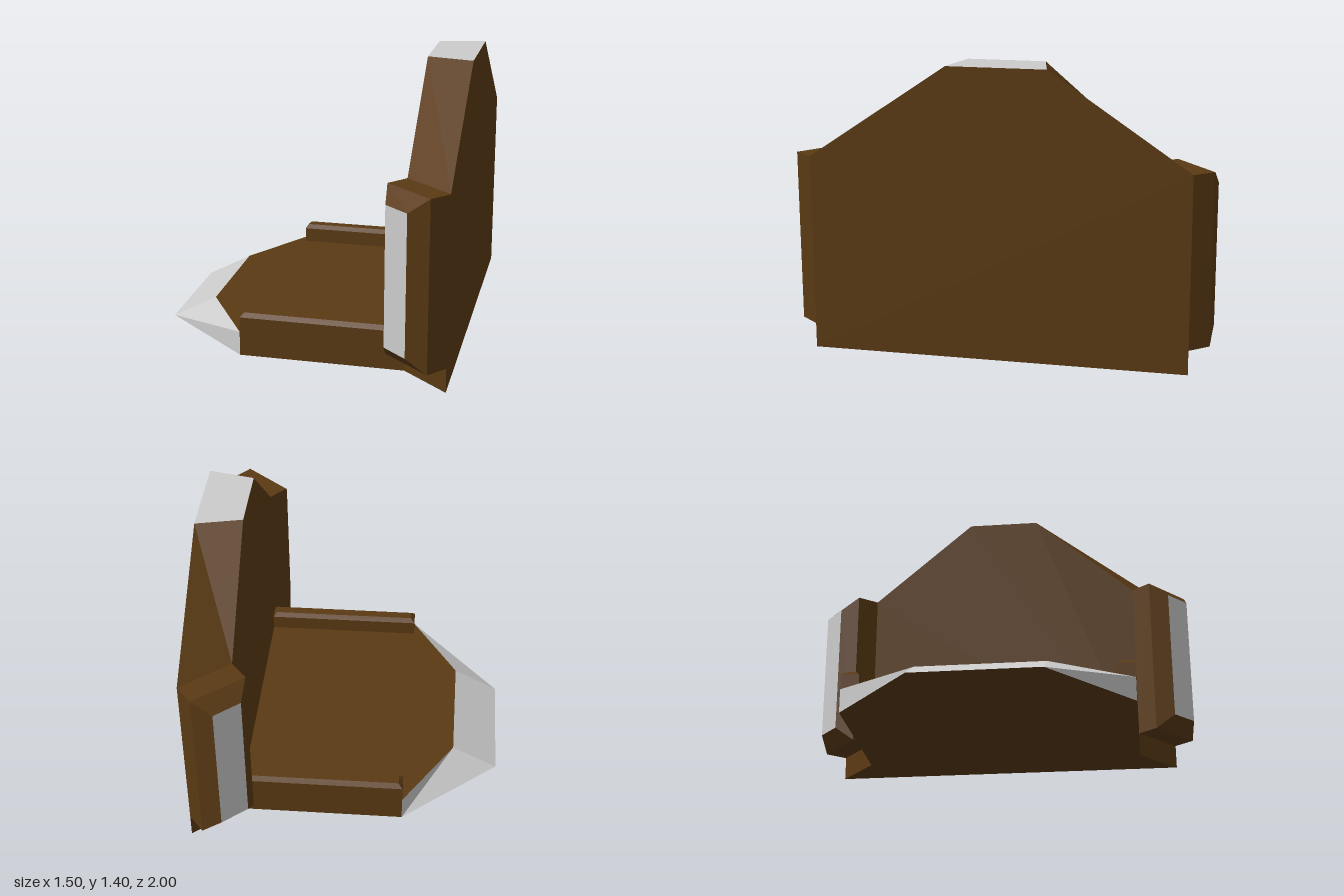
import * as THREE from 'three';

const brown = new THREE.MeshStandardMaterial({ color: 0x5a3a14, flatShading: true });
const grey = new THREE.MeshStandardMaterial({ color: 0xcccccc, flatShading: true });

// One flat-shaded mesh from convex faces, each turned to face away from the centre.
function facesMesh(name, faces, centre, material) {
  const positions = [];
  for (const face of faces) {
    for (let i = 1; i < face.length - 1; i++) {
      const [a, b, c] = [face[0], face[i], face[i + 1]];
      const normal = b.clone().sub(a).cross(c.clone().sub(a));
      const outward = normal.dot(a.clone().sub(centre)) > 0;
      for (const p of outward ? [a, b, c] : [a, c, b]) positions.push(p.x, p.y, p.z);
    }
  }
  const geometry = new THREE.BufferGeometry();
  geometry.setAttribute('position', new THREE.Float32BufferAttribute(positions, 3));
  geometry.computeVertexNormals();
  const mesh = new THREE.Mesh(geometry, material);
  mesh.name = name;
  return mesh;
}

// Convex solid lofted between two matching rings. greyFaces lists the grey sides;
// the last two faces are the start cap and the end cap.
function loft(name, start, end, greyFaces = []) {
  const ringA = start.map(p => new THREE.Vector3(...p));
  const ringB = end.map(p => new THREE.Vector3(...p));
  const n = ringA.length;
  const centre = new THREE.Vector3();
  for (const p of [...ringA, ...ringB]) centre.addScaledVector(p, 0.5 / n);
  const faces = ringA.map((p, i) => [p, ringA[(i + 1) % n], ringB[(i + 1) % n], ringB[i]]);
  faces.push(ringA, ringB);

  const group = new THREE.Group();
  group.name = name;
  group.add(facesMesh(name + 'Body', faces.filter((f, i) => !greyFaces.includes(i)), centre, brown));
  if (greyFaces.length) {
    group.add(facesMesh(name + 'GreyFaces', faces.filter((f, i) => greyFaces.includes(i)), centre, grey));
  }
  return group;
}

// Floor outline with the given front edge
const floorRing = (y, front) => [
  [front, y, 0.31], [-0.28, y, 0.71], [0.525, y, 0.71],
  [0.525, y, -0.71], [-0.28, y, -0.71], [front, y, -0.31],
];

// Wall outline with a peaked, flat-topped profile
const wallRing = (x, side, top) => [
  [x, 0, side], [x, 0.95, side], [x, 1.4, top],
  [x, 1.4, -top], [x, 0.95, -side], [x, 0, -side],
];

// Upright rectangle spanning two plan points
const uprightRing = ([x1, z1], [x2, z2], low, high, s) => [
  [x1, low, z1 * s], [x2, low, z2 * s], [x2, high, z2 * s], [x1, high, z1 * s],
];

// Horizontal rail rectangle with an inset for the bevel
const railRing = (y, inset, s) => [
  [-0.28 + inset, y, (0.62 + inset) * s], [0.525 - inset, y, (0.62 + inset) * s],
  [0.525 - inset, y, (0.71 - inset) * s], [-0.28 + inset, y, (0.71 - inset) * s],
];

export function createModel() {
  const model = new THREE.Group();
  model.name = 'walledPlatform';

  // Floor with grey ramps on the three front edges
  model.add(loft('floor', floorRing(0, -0.75), floorRing(0.12, -0.525), [0, 4, 5]));

  // Tapered wall with a grey top
  model.add(loft('wall', wallRing(0.75, 0.9, 0.235), wallRing(0.525, 0.71, 0.185), [2]));

  for (const s of [1, -1]) {
    const side = s > 0 ? 'front' : 'back';

    // Low bevelled rail along the floor edge
    model.add(loft(side + 'Rail', railRing(0.12, 0, s), railRing(0.195, 0, s)));
    model.add(loft(side + 'RailBevel', railRing(0.195, 0, s), railRing(0.215, 0.02, s)));

    // Angled post on the wall edge, bevelled to a grey panel
    const root = uprightRing([0.75, 0.9], [0.525, 0.71], 0.12, 0.95, s);
    const rim = uprightRing([0.675, 0.99], [0.45, 0.8], 0.12, 0.95, s);
    const panel = uprightRing([0.575, 1], [0.46, 0.9], 0.195, 0.88, s);
    model.add(loft(side + 'Post', root, rim));
    model.add(loft(side + 'PostPanel', rim, panel, [5]));
  }
  return model;
}
